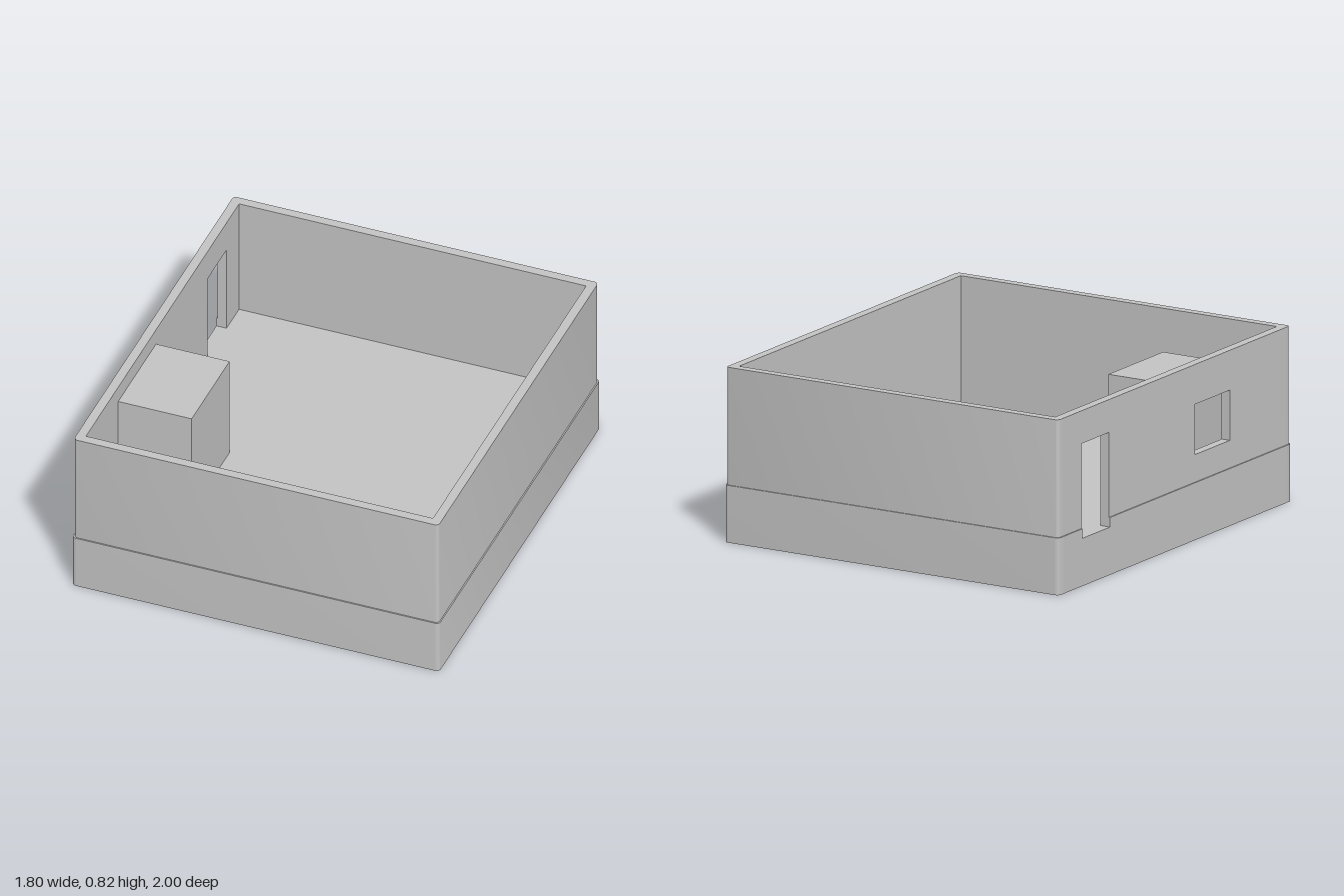
import * as THREE from 'three';
import { toCreasedNormals } from 'three/addons/utils/BufferGeometryUtils.js';

// Main levels and inner room size
const FLOOR = 0.225, LEDGE = 0.27, TOP = 0.825;
const IN_X = 0.85, IN_Z = 0.95;
const DOOR = { z0: -0.795, z1: -0.56, top: 0.67 };
const WINDOW = { z0: 0.18, z1: 0.478, y0: 0.4, y1: 0.637 };

// Plan of three walls, open on the -x side, with rounded outer corners
function threeWallPlan(w, d, r) {
  const s = new THREE.Shape();
  s.moveTo(-IN_X, -IN_Z);
  s.lineTo(-w, -IN_Z);
  s.lineTo(-w, -d + r);
  s.absarc(-w + r, -d + r, r, Math.PI, Math.PI * 1.5);
  s.absarc(w - r, -d + r, r, -Math.PI / 2, 0);
  s.absarc(w - r, d - r, r, 0, Math.PI / 2);
  s.absarc(-w + r, d - r, r, Math.PI / 2, Math.PI);
  s.lineTo(-w, IN_Z);
  s.lineTo(-IN_X, IN_Z);
  s.lineTo(IN_X, IN_Z);
  s.lineTo(IN_X, -IN_Z);
  s.closePath();
  return s;
}

function polygon(points) {
  return new THREE.Shape(points.map(([x, y]) => new THREE.Vector2(x, y)));
}

// Raise a plan between two heights
function raise(shape, y0, y1) {
  const g = new THREE.ExtrudeGeometry(shape, { depth: y1 - y0, bevelEnabled: false, curveSegments: 6 });
  g.rotateX(-Math.PI / 2).translate(0, y0, 0);
  return toCreasedNormals(g, 0.6);
}

// Side panel drawn in (z, y), running outward from the inner room face
function sidePanel(shape, outerX) {
  const g = new THREE.ExtrudeGeometry(shape, { depth: outerX - IN_X, bevelEnabled: false });
  return g.rotateY(-Math.PI / 2).translate(-IN_X, 0, 0);
}

function box(x0, x1, y0, y1, z0, z1) {
  return new THREE.BoxGeometry(x1 - x0, y1 - y0, z1 - z0)
    .translate((x0 + x1) / 2, (y0 + y1) / 2, (z0 + z1) / 2);
}

export function createModel() {
  const model = new THREE.Group();
  model.name = 'openRoom';
  const grey = new THREE.MeshStandardMaterial({ color: 0xc4c4c4 });
  grey.name = 'plainGrey';

  const add = (name, geometry) => {
    const mesh = new THREE.Mesh(geometry, grey);
    mesh.name = name;
    model.add(mesh);
  };

  // Plinth, slightly wider than the walls, notched at the doorway
  add('plinthWalls', raise(threeWallPlan(0.9, 1, 0.02), 0, LEDGE));
  add('plinthDoorSide', sidePanel(polygon([
    [-IN_Z, 0], [IN_Z, 0], [IN_Z, LEDGE], [DOOR.z1, LEDGE], [DOOR.z1, FLOOR],
    [DOOR.z0, FLOOR], [DOOR.z0, LEDGE], [-IN_Z, LEDGE],
  ]), 0.9));

  // Floor slab, leaving a recess underneath
  add('floor', box(-IN_X, IN_X, 0.187, FLOOR, -IN_Z, IN_Z));

  // Upper walls; the -x side holds the door and window
  add('upperWalls', raise(threeWallPlan(0.894, 0.994, 0.02), LEDGE, TOP));
  const doorWall = polygon([
    [-IN_Z, LEDGE], [DOOR.z0, LEDGE], [DOOR.z0, DOOR.top], [DOOR.z1, DOOR.top],
    [DOOR.z1, LEDGE], [IN_Z, LEDGE], [IN_Z, TOP], [-IN_Z, TOP],
  ]);
  const { z0, z1, y0, y1 } = WINDOW;
  doorWall.holes.push(polygon([[z0, y0], [z0, y1], [z1, y1], [z1, y0]]));
  add('doorAndWindowWall', sidePanel(doorWall, 0.894));

  // Hollow cabinet behind the window
  const t = 0.03, cx = -0.49, za = 0.08, zb = 0.55, cabinetTop = 0.744;
  add('cabinetSides', raise(polygon([
    [-IN_X, -zb], [cx, -zb], [cx, -za], [-IN_X, -za],
    [-IN_X, -za - t], [cx - t, -za - t], [cx - t, -zb + t], [-IN_X, -zb + t],
  ]), FLOOR, cabinetTop));
  add('cabinetTop', box(-IN_X, cx - t, cabinetTop - t, cabinetTop, za + t, zb - t));

  return model;
}
